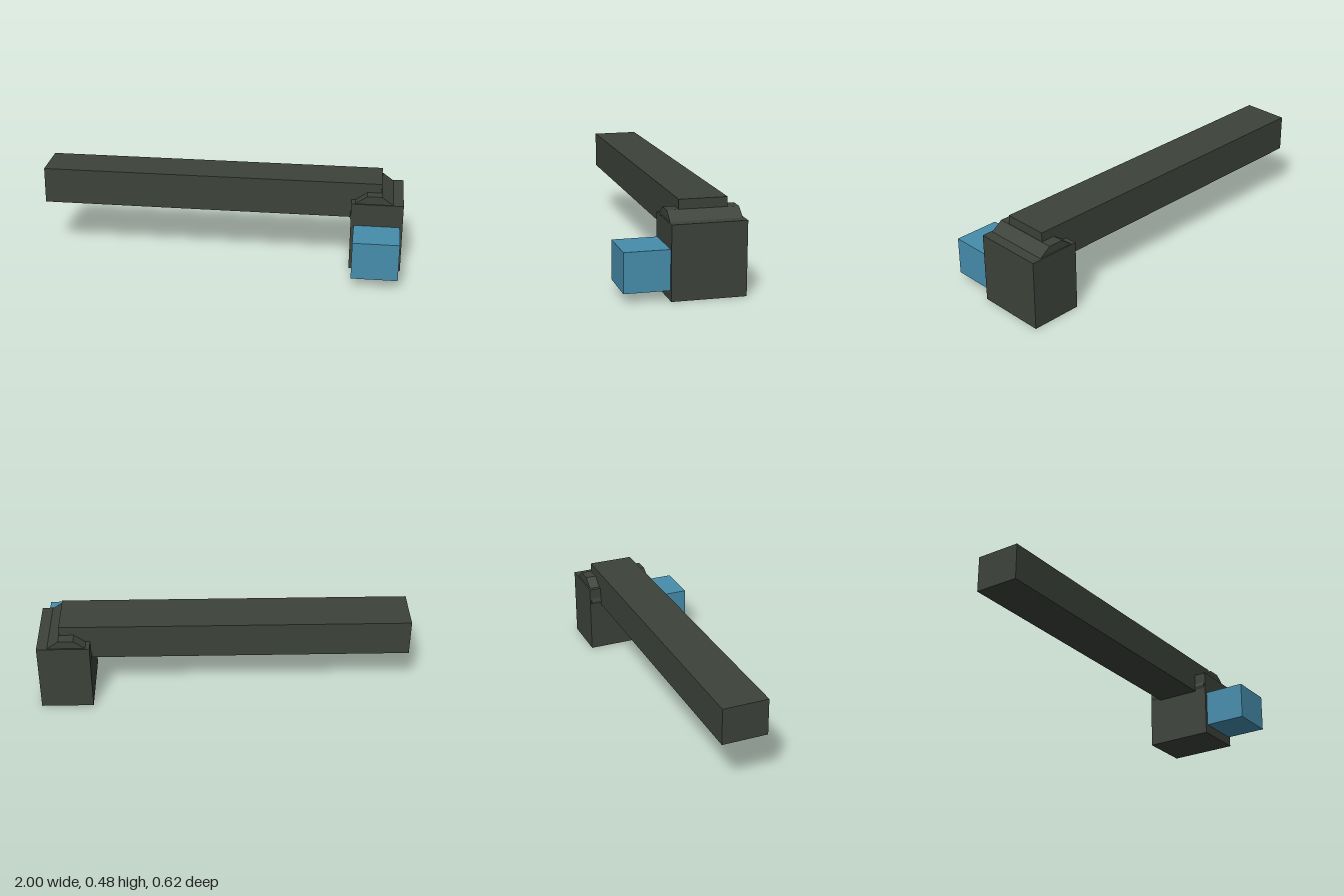
import * as THREE from 'three';

export function createModel() {
  const group = new THREE.Group();
  const dark = new THREE.MeshStandardMaterial({ color: 0x3c423a, flatShading: true });
  dark.name = 'dark grey green';
  const blue = new THREE.MeshStandardMaterial({ color: 0x468dac, flatShading: true });
  blue.name = 'blue';

  // box given by its extents on each axis
  const box = (name, material, [x0, x1], [y0, y1], [z0, z1]) => {
    const mesh = new THREE.Mesh(new THREE.BoxGeometry(x1 - x0, y1 - y0, z1 - z0), material);
    mesh.position.set((x0 + x1) / 2, (y0 + y1) / 2, (z0 + z1) / 2);
    mesh.name = name;
    group.add(mesh);
  };

  box('beam', dark, [-1, 0.88], [0.28, 0.48], [-0.243, 0.007]);
  box('endBlock', dark, [0.718, 1], [0, 0.385], [-0.31, 0.075]);
  box('frontBlock', blue, [0.735, 0.985], [0.053, 0.26], [0.075, 0.31]);

  // ten-sided pivot lying along z, showing above and beside the end block
  const pivotGeometry = new THREE.CylinderGeometry(0.13, 0.13, 0.37, 10, 1, false, Math.PI / 2);
  pivotGeometry.rotateX(Math.PI / 2);
  const pivot = new THREE.Mesh(pivotGeometry, dark);
  pivot.position.set(0.842, 0.306, -0.117);
  pivot.name = 'pivot';
  group.add(pivot);

  return group;
}
